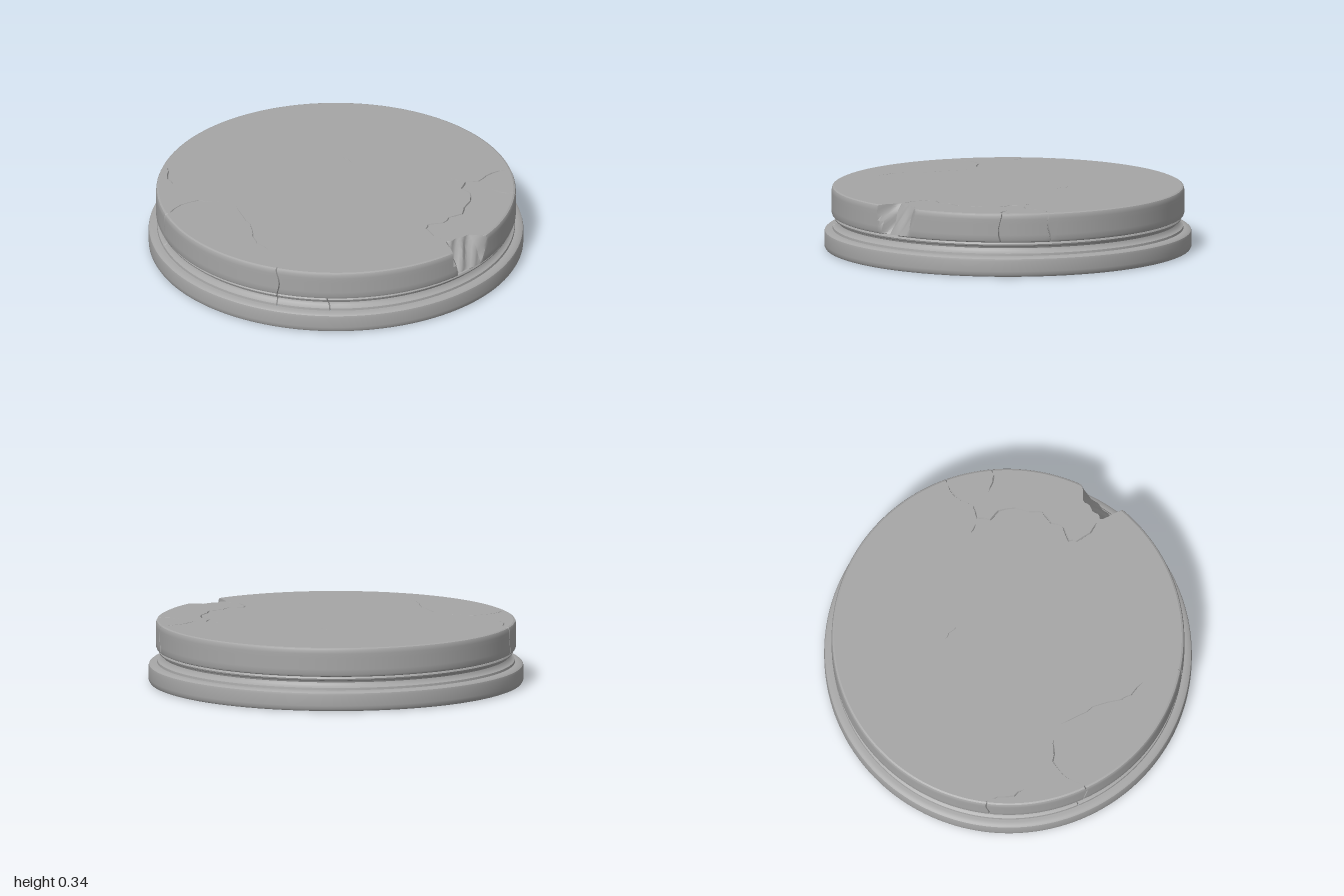
import * as THREE from 'three';
import { toCreasedNormals, mergeGeometries } from 'three/addons/utils/BufferGeometryUtils.js';

const SQUASH = 0.98; // the disc is slightly shorter in z
const TOP = 0.335;
const { lerp, degToRad } = THREE.MathUtils;

// small seeded random in -1..1
let seed = 7;
const rand = () => {
  seed = (seed * 16807) % 2147483647;
  return (seed / 2147483647) * 2 - 1;
};

// broken corner: [degrees from +x towards +z, radius at the top]
const NOTCH = [[31.5, 0.965], [35, 0.885], [38, 0.862], [41, 0.855], [44.3, 0.835], [46.5, 0.9], [48.5, 0.965]];

function notchRadius(a, y) {
  const deg = a * 180 / Math.PI;
  for (let i = 0; i < NOTCH.length - 1; i++) {
    const [d0, r0] = NOTCH[i], [d1, r1] = NOTCH[i + 1];
    if (deg < d0 || deg > d1) continue;
    const drop = (TOP - y) / 0.155;
    const rough = 0.008 * Math.sin(deg * 1.3 + y * 45);
    return lerp(r0, r1, (deg - d0) / (d1 - d0)) + drop * 0.085 + rough;
  }
  return 2;
}

// evenly spaced angles, finer in the notch, with three close ones at every crack
function makeAngles(cracks, notch) {
  const list = [];
  for (let i = 0; i < 180; i++) {
    const a = (i / 180) * Math.PI * 2;
    if (cracks.every(c => Math.abs(a - c) > 0.022)) list.push({ a, wobble: 0, dip: 0 });
  }
  if (notch) for (let d = 31; d < 49; d += 2) list.push({ a: degToRad(d), wobble: 0, dip: 0 });
  for (const c of cracks) {
    for (const k of [-1, 0, 1]) list.push({ a: c + k * 0.004, wobble: 0.01, dip: k ? 0 : 0.014 });
  }
  return list.sort((p, q) => p.a - q.a);
}

// turned surface with crack grooves and an optional broken corner
function turned(profile, cracks = [], notch = false) {
  const angles = makeAngles(cracks, notch), n = angles.length;
  const pos = [], idx = [];
  for (const [r, y] of profile) {
    for (const { a, wobble, dip } of angles) {
      const t = a + wobble * Math.sin(y * 32 + a * 5);
      const rr = Math.min(r, notch ? notchRadius(a, y) : 2) - dip;
      pos.push(rr * Math.cos(t), y, rr * Math.sin(t) * SQUASH);
    }
  }
  for (let j = 0; j < profile.length - 1; j++) {
    for (let i = 0; i < n; i++) {
      const p = j * n + i, q = j * n + (i + 1) % n;
      idx.push(p, p + n, q, q, p + n, q + n);
    }
  }
  const g = new THREE.BufferGeometry();
  g.setAttribute('position', new THREE.Float32BufferAttribute(pos, 3));
  g.setIndex(idx);
  const rim = [];
  for (let k = pos.length - n * 3; k < pos.length; k += 3) rim.push(new THREE.Vector2(pos[k], -pos[k + 2]));
  return { geometry: toCreasedNormals(g, 0.6), rim };
}

// cracks across the top as x, z points
const TOP_CRACKS = [
  [[0.9, -0.212], [0.87, -0.205], [0.8, -0.15], [0.76, -0.09], [0.69, -0.08], [0.67, -0.01], [0.715, 0.04], [0.72, 0.13],
    [0.69, 0.2], [0.68, 0.27], [0.61, 0.31], [0.58, 0.37], [0.5, 0.39], [0.49, 0.43], [0.53, 0.51], [0.586, 0.552]],
  [[0.61, -0.12], [0.63, -0.105], [0.66, -0.09]],
  [[0.83, 0], [0.88, 0.03], [0.928, 0.043]],
  [[-0.88, 0.29], [-0.86, 0.25], [-0.82, 0.2], [-0.73, 0.15], [-0.66, 0.165], [-0.61, 0.17]],
  [[-0.53, 0.21], [-0.49, 0.32], [-0.45, 0.4], [-0.43, 0.55], [-0.41, 0.61], [-0.34, 0.69]],
  [[-0.9, -0.205], [-0.895, -0.17], [-0.9, -0.08], [-0.87, -0.02]],
  [[0.03, -0.34], [0.06, -0.31], [0.1, -0.26]],
];
const CRACK_WIDTHS = [0.005, 0.003, 0.004, 0.004, 0.003, 0.004, 0.0015];

// left edge, bottom line and right edge of a tapering V groove
function crackRails(points, width) {
  const path = [];
  points.forEach(([x, z], i) => {
    if (i) {
      const [px, pz] = points[i - 1];
      path.push([(x + px) / 2 + rand() * 0.006, (z + pz) / 2 + rand() * 0.006]);
    }
    path.push([x, z]);
  });
  const last = path.length - 1, left = [], mid = [], right = [];
  path.forEach(([x, z], i) => {
    const a = path[Math.max(i - 1, 0)], b = path[Math.min(i + 1, last)];
    const dx = b[0] - a[0], dz = b[1] - a[1], len = Math.hypot(dx, dz);
    const w = i === 0 || i === last ? 0 : width * (0.85 + 0.25 * rand());
    left.push([x - dz / len * w, TOP, z + dx / len * w]);
    mid.push([x, TOP - w * 3, z]);
    right.push([x + dz / len * w, TOP, z - dx / len * w]);
  });
  return { left, mid, right };
}

function grooveGeometry({ left, mid, right }) {
  const pos = [];
  for (const [p, q] of [[left, mid], [mid, right]]) {
    for (let i = 0; i < p.length - 1; i++) {
      pos.push(...p[i], ...p[i + 1], ...q[i], ...p[i + 1], ...q[i + 1], ...q[i]);
    }
  }
  const g = new THREE.BufferGeometry();
  g.setAttribute('position', new THREE.Float32BufferAttribute(pos, 3));
  g.computeVertexNormals();
  return g;
}

export function createModel() {
  const group = new THREE.Group();
  const stone = new THREE.MeshStandardMaterial({ color: 0xa6a6a6 });
  stone.name = 'grey stone';
  const add = (name, geometry) => {
    const mesh = new THREE.Mesh(geometry, stone);
    mesh.name = name;
    group.add(mesh);
    return mesh;
  };
  const angleOf = (x, z) => (Math.atan2(z / SQUASH, x) + Math.PI * 2) % (Math.PI * 2);

  // wide foot with softened edges
  const foot = [[0.982, 0], [0.993, 0.004], [0.999, 0.014], [1, 0.03], [1, 0.085], [0.997, 0.097], [0.988, 0.104], [0.968, 0.107], [0.955, 0.108]];
  add('foot', turned(foot).geometry);
  const underside = new THREE.CircleGeometry(0.982, 180).rotateX(Math.PI / 2).scale(1, 1, SQUASH);
  add('underside', underside);

  // recessed moulding between foot and drum
  const neck = [[0.955, 0.108], [0.953, 0.12], [0.944, 0.124], [0.932, 0.134], [0.927, 0.146], [0.931, 0.155], [0.943, 0.16], [0.946, 0.168], [0.941, 0.176], [0.93, 0.18]];
  const neckCracks = [angleOf(-0.02, 0.93), angleOf(-0.29, 0.88), angleOf(-0.89, 0.25)];
  add('neck', turned(neck, neckCracks).geometry);

  // upper drum with cracked sides and a broken corner
  const drum = [[0.92, 0.178], [0.945, 0.179], [0.956, 0.184], [0.96, 0.194], [0.96, 0.22], [0.96, 0.25], [0.96, 0.28], [0.96, 0.305], [0.959, 0.322], [0.955, 0.331], [0.946, TOP]];
  const drumCracks = [angleOf(0.93, 0.043), angleOf(-0.295, 0.9), angleOf(-0.905, 0.3), angleOf(-0.925, -0.225), angleOf(0.93, -0.217)];
  const { geometry, rim } = turned(drum, drumCracks, true);
  add('drum', geometry);

  // flat top opened along the cracks, with the grooves set into it
  const rails = TOP_CRACKS.map((points, i) => crackRails(points, CRACK_WIDTHS[i]));
  const shape = new THREE.Shape(rim);
  for (const { left, right } of rails) {
    const loop = [...left, ...right.slice(1, -1).reverse()];
    shape.holes.push(new THREE.Path(loop.map(([x, , z]) => new THREE.Vector2(x, -z))));
  }
  add('topFace', new THREE.ShapeGeometry(shape).rotateX(-Math.PI / 2).translate(0, TOP, 0));
  add('topCracks', mergeGeometries(rails.map(grooveGeometry)));

  return group;
}
